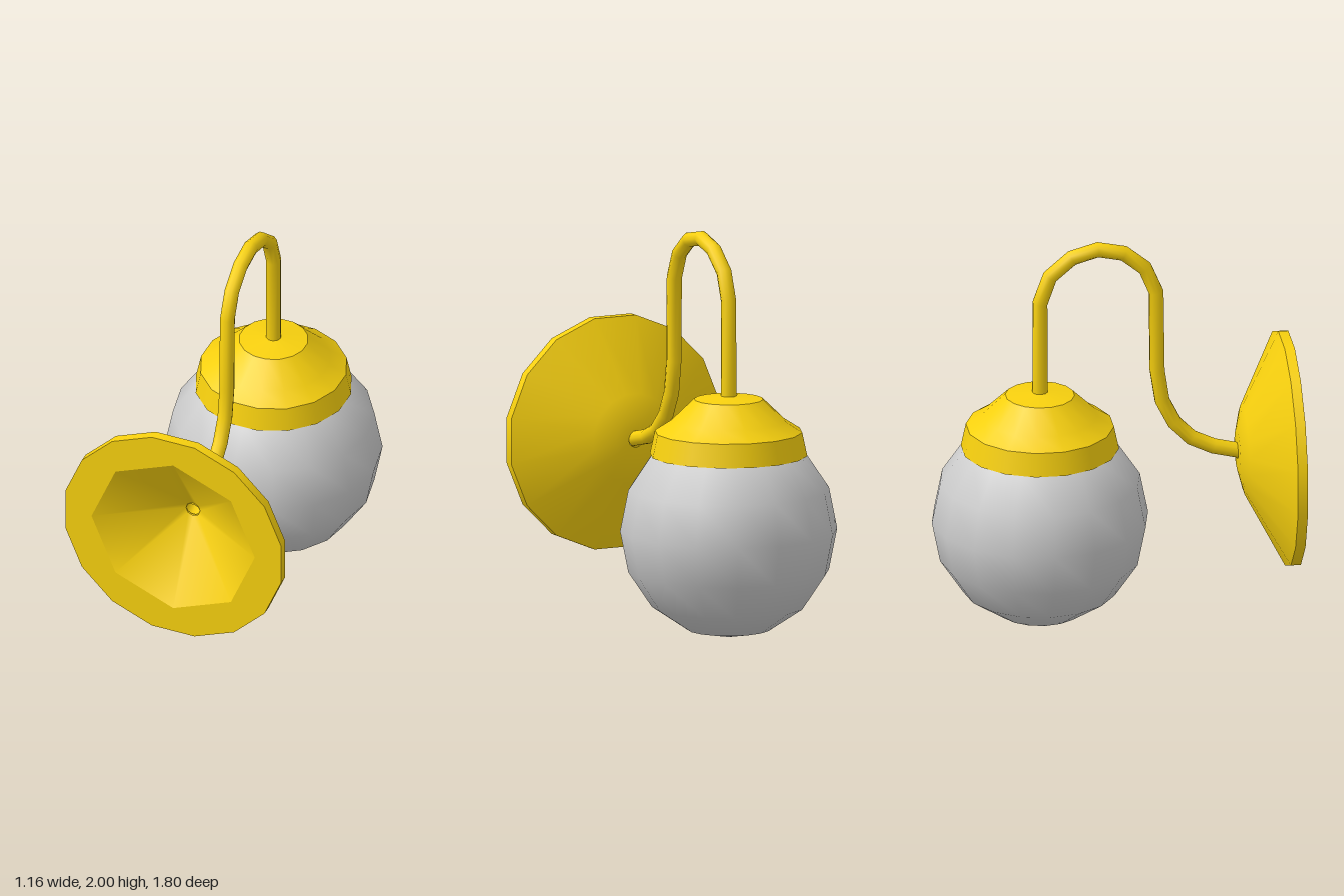
import * as THREE from 'three';

const brass = new THREE.MeshStandardMaterial({ color: 0xf7d00e, side: THREE.DoubleSide });
const glass = new THREE.MeshStandardMaterial({ color: 0xcccccc });

// One smooth band per profile, so edges between bands stay sharp
function lathe(name, profile, sides, phase) {
  const pts = profile.map(([r, y]) => new THREE.Vector2(r, y));
  const mesh = new THREE.Mesh(new THREE.LatheGeometry(pts, sides, phase), brass);
  mesh.name = name;
  return mesh;
}

function polygon(PathType, radius, sides, phase) {
  const path = new PathType();
  const pts = [];
  for (let i = 0; i < sides; i++) {
    const a = phase + (i / sides) * Math.PI * 2;
    pts.push(new THREE.Vector2(Math.cos(a) * radius, Math.sin(a) * radius));
  }
  return path.setFromPoints(pts);
}

// Curve that keeps the given corners, with mitred rings at each one
class CornerCurve extends THREE.Curve {
  constructor(points) {
    super();
    this.points = points;
  }
  getPoint(t) {
    const n = this.points.length - 1;
    const i = Math.min(Math.floor(t * n + 1e-6), n - 1);
    return this.points[i].clone().lerp(this.points[i + 1], t * n - i);
  }
  getPointAt(t) { return this.getPoint(t); }
  getTangentAt(t) {
    const n = this.points.length - 1, i = Math.round(t * n);
    const out = new THREE.Vector3();
    if (i > 0) out.add(this.points[i].clone().sub(this.points[i - 1]).normalize());
    if (i < n) out.add(this.points[i + 1].clone().sub(this.points[i]).normalize());
    return out.normalize();
  }
}

export function createModel() {
  const model = new THREE.Group();
  model.name = 'wallLamp';
  const half = Math.PI / 16;

  // Wall plate: hollow cone whose open side faces +z
  const plate = new THREE.Group();
  plate.name = 'wallPlate';
  plate.position.y = 0.84;
  const shell = new THREE.Group();
  shell.name = 'plateShell';
  shell.rotation.x = Math.PI / 2;
  shell.add(
    lathe('plateBack', [[0.04, 0.628], [0.11, 0.63], [0.225, 0.66], [0.592, 0.85]], 16, half),
    lathe('plateEdge', [[0.592, 0.85], [0.592, 0.9]], 16, half),
    lathe('plateHollow', [[0.44, 0.9], [0.038, 0.65]], 8, 0)
  );
  const rimShape = polygon(THREE.Shape, 0.592, 16, half);
  rimShape.holes.push(polygon(THREE.Path, 0.44, 8, 0));
  const rim = new THREE.Mesh(new THREE.ShapeGeometry(rimShape), brass);
  rim.name = 'plateRim';
  rim.position.z = 0.9;
  plate.add(shell, rim);
  model.add(plate);

  // Bent arm, listed as z and y along its centre line
  const path = [
    [0.65, 0.84], [0.51, 0.873], [0.4, 0.925], [0.31, 1.015], [0.25, 1.135], [0.225, 1.3], [0.22, 1.72],
    [0.165, 1.85], [0.06, 1.935], [-0.07, 1.962], [-0.2, 1.925], [-0.31, 1.83], [-0.36, 1.69], [-0.36, 1.2]
  ].map(([z, y]) => new THREE.Vector3(0, y, z));
  const arm = new THREE.Mesh(new THREE.TubeGeometry(new CornerCurve(path), path.length - 1, 0.038, 10), brass);
  arm.name = 'arm';
  model.add(arm);

  // Shade holder and globe
  const lamp = new THREE.Group();
  lamp.name = 'lamp';
  lamp.position.z = -0.36;
  lamp.add(
    lathe('holderBand', [[0.392, 0.92], [0.367, 1.037]], 16, half),
    lathe('holderDome', [[0.367, 1.037], [0.285, 1.09], [0.172, 1.2]], 16, half),
    lathe('holderTop', [[0.172, 1.2], [0, 1.22]], 16, half)
  );
  const globe = new THREE.Mesh(new THREE.SphereGeometry(0.54, 16, 8), glass);
  globe.name = 'globe';
  globe.position.y = 0.542;
  lamp.add(globe);
  model.add(lamp);

  return model;
}
